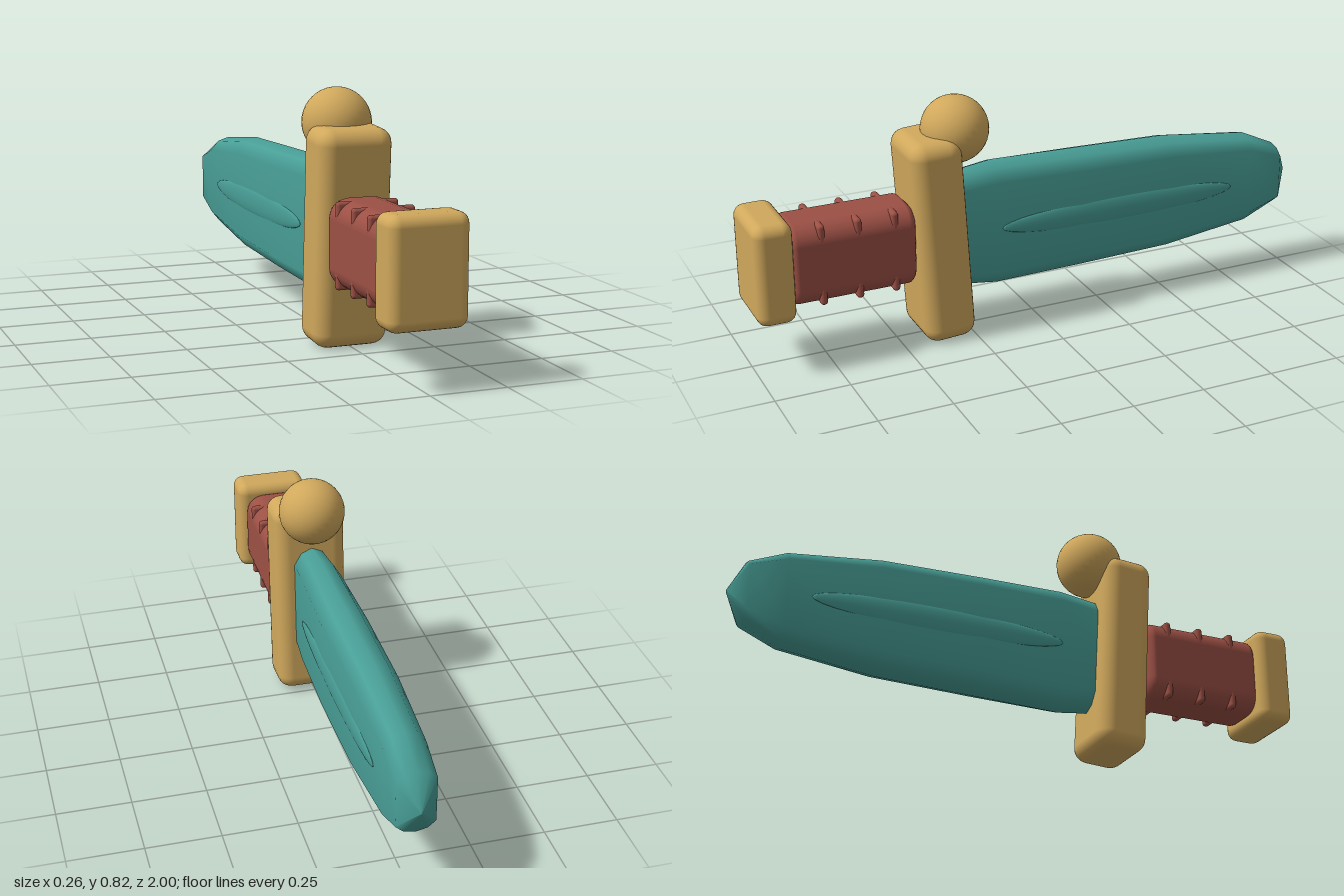
import * as THREE from 'three';
import { RoundedBoxGeometry } from 'three/addons/geometries/RoundedBoxGeometry.js';

const MID = 0.36; // height of the long axis

const makeMaterial = (name, color) => {
  const m = new THREE.MeshStandardMaterial({ color });
  m.name = name;
  return m;
};

// Blade: ten-sided cross-sections lofted from the guard to the tip
function bladeGeometry() {
  // z, half height, half width
  const stations = [
    [0.33, 0.2, 0.06], [0.15, 0.224, 0.069], [-0.15, 0.216, 0.078], [-0.5, 0.206, 0.077],
    [-0.82, 0.166, 0.068], [-0.945, 0.108, 0.064], [-1, 0.003, 0.002],
  ];
  const section = [
    [1, -0.72], [1, 0.72], [0.6, 0.92], [0, 1], [-0.6, 0.92],
    [-1, 0.72], [-1, -0.72], [-0.6, -0.92], [0, -1], [0.6, -0.92],
  ];
  const n = section.length;
  const positions = [];
  const index = [];
  stations.forEach(([z, h, w]) => section.forEach(([x, y]) => positions.push(x * w, y * h, z)));
  for (let i = 0; i < stations.length - 1; i++) {
    for (let j = 0; j < n; j++) {
      const a = i * n + j;
      const b = i * n + (j + 1) % n;
      index.push(a, a + n, b, b, a + n, b + n);
    }
  }
  // close the tip
  const last = (stations.length - 1) * n;
  for (let j = 1; j < n - 1; j++) index.push(last, last + j + 1, last + j);
  const g = new THREE.BufferGeometry();
  g.setAttribute('position', new THREE.Float32BufferAttribute(positions, 3));
  g.setIndex(index);
  g.computeVertexNormals();
  return g;
}

export function createModel() {
  const group = new THREE.Group();
  const gold = makeMaterial('gold', 0xd0a85c);
  const teal = makeMaterial('teal', 0x489e96);
  const red = makeMaterial('red', 0x9c5045);

  const add = (name, geometry, material, x, y, z) => {
    const mesh = new THREE.Mesh(geometry, material);
    mesh.name = name;
    mesh.position.set(x, y, z);
    group.add(mesh);
    return mesh;
  };

  // Handle end
  add('pommel', new RoundedBoxGeometry(0.26, 0.344, 0.13, 3, 0.036), gold, 0, MID, 0.935);

  // Grip with softer long edges than end edges
  const grip = add('grip', new RoundedBoxGeometry(0.21, 0.28, 0.88, 3, 0.065), red, 0, MID, 0.665);
  grip.scale.z = 0.5;

  // Grip ridges that show at the rounded corners
  for (const z of [0.775, 0.652, 0.528]) {
    add('gripRidge', new RoundedBoxGeometry(0.208, 0.278, 0.024, 2, 0.011), red, 0, MID, z);
  }

  // Slightly tilted cross guard with a ball on top
  const guard = add('guard', new RoundedBoxGeometry(0.25, 0.708, 0.18, 3, 0.05), gold, 0, 0.358, 0.36);
  guard.rotation.x = 0.06;
  add('guardBall', new THREE.SphereGeometry(0.113, 32, 20), gold, 0, 0.712, 0.277);

  // Blade and the raised oval on each side
  add('blade', bladeGeometry(), teal, 0, MID, 0);
  for (const side of [-1, 1]) {
    const oval = add('bladeOval', new THREE.SphereGeometry(1, 32, 16), teal, side * 0.072, MID, -0.3);
    oval.scale.set(0.011, 0.047, 0.44);
  }
  return group;
}
